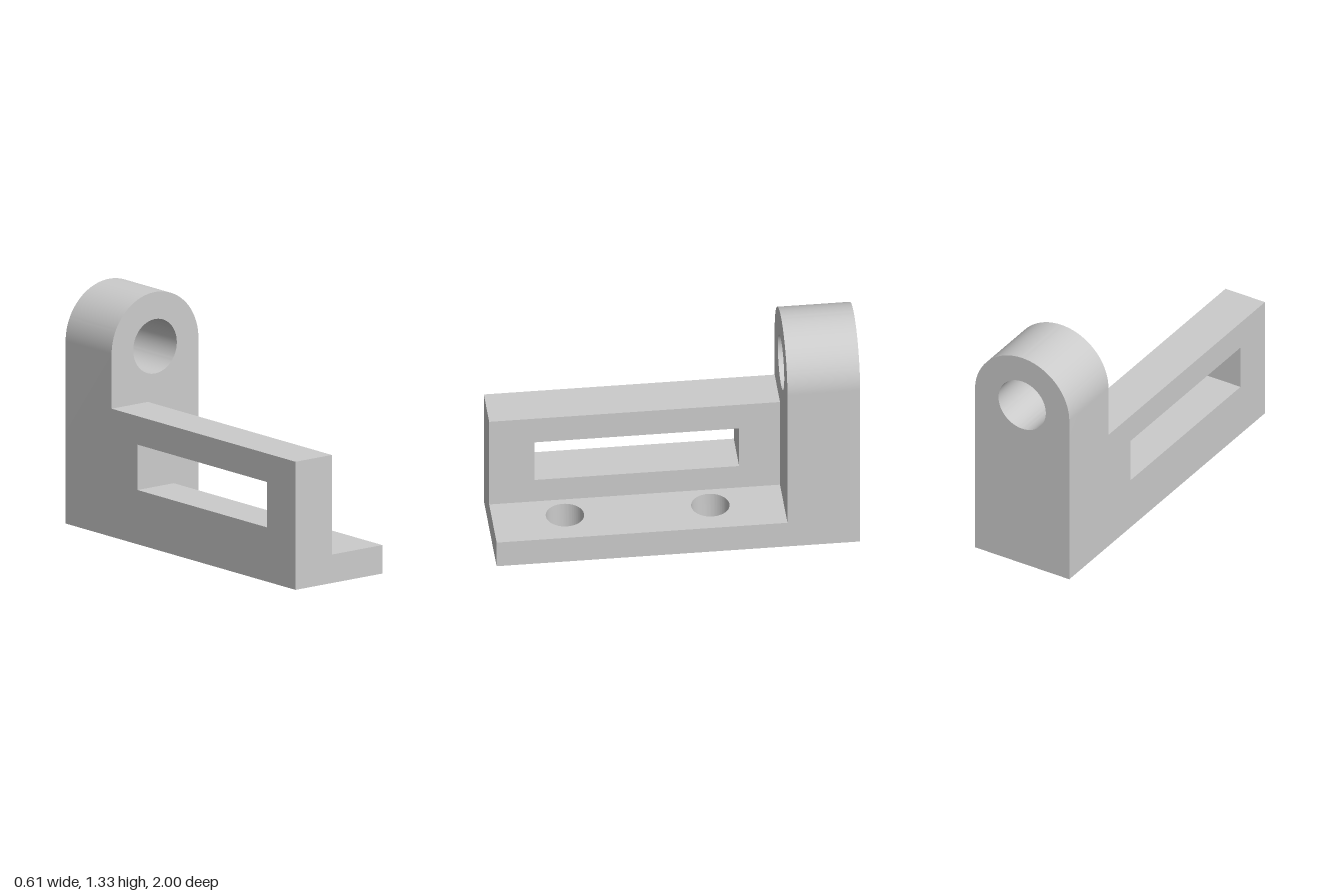
import * as THREE from 'three';
import { toCreasedNormals } from 'three/addons/utils/BufferGeometryUtils.js';

const HALF_W = 0.305;      // half width of the bracket
const WALL_X = -0.05;      // inner face of the side wall
const LUG_Z = -0.6;        // front face of the upright lug

const rect = (path, x0, y0, x1, y1) =>
  path.moveTo(x0, y0).lineTo(x1, y0).lineTo(x1, y1).lineTo(x0, y1).closePath();

const circleHole = (x, y, r) => new THREE.Path().absarc(x, y, r, 0, Math.PI * 2, true);

function extrude(shape, depth) {
  const geometry = new THREE.ExtrudeGeometry(shape, { depth, bevelEnabled: false, curveSegments: 48 });
  return toCreasedNormals(geometry, 0.5);
}

export function createModel() {
  const group = new THREE.Group();
  group.name = 'bracket';
  const material = new THREE.MeshStandardMaterial({ color: 0xcccccc });
  const add = (name, geometry) => {
    const mesh = new THREE.Mesh(geometry, material);
    mesh.name = name;
    group.add(mesh);
  };

  // Upright lug with a rounded top and a bore, drawn in x, y
  const lug = new THREE.Shape();
  lug.moveTo(-HALF_W, 0).lineTo(HALF_W, 0).lineTo(HALF_W, 1.025);
  lug.absarc(0, 1.025, HALF_W, 0, Math.PI, false);
  lug.closePath();
  lug.holes.push(circleHole(0, 1.025, 0.153));
  add('uprightLug', extrude(lug, 0.4).translate(0, 0, -1));

  // Side wall with a long window, drawn in z, y
  const wall = rect(new THREE.Shape(), LUG_Z, 0, 1, 0.72);
  wall.holes.push(rect(new THREE.Path(), -0.375, 0.305, 0.75, 0.56));
  add('sideWall', extrude(wall, HALF_W + WALL_X).rotateY(-Math.PI / 2).translate(WALL_X, 0, 0));

  // Base flange with two bolt holes, drawn in x, -z
  const base = rect(new THREE.Shape(), WALL_X, -1, HALF_W, -LUG_Z);
  for (const z of [-0.2, 0.6]) base.holes.push(circleHole(0.095, -z, 0.105));
  add('baseFlange', extrude(base, 0.16).rotateX(-Math.PI / 2));

  return group;
}
